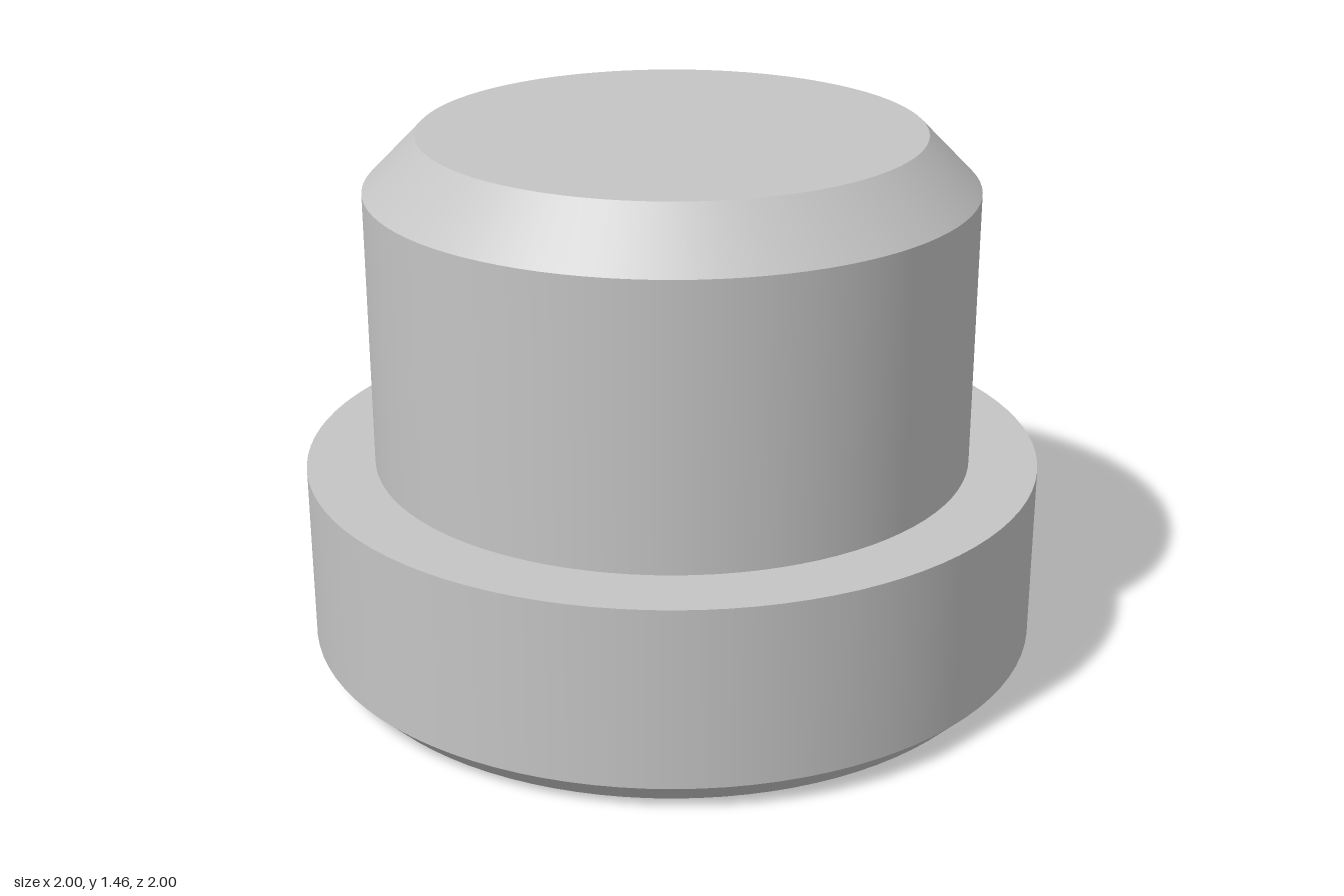
import * as THREE from 'three';
import { mergeGeometries } from 'three/addons/utils/BufferGeometryUtils.js';

const SEGMENTS = 96;

// Revolve each straight run of a profile on its own, so edges between runs stay sharp
function turned(name, profile, material) {
  const runs = [];
  for (let i = 0; i < profile.length - 1; i++) {
    const ends = [profile[i], profile[i + 1]].map(([r, y]) => new THREE.Vector2(r, y));
    runs.push(new THREE.LatheGeometry(ends, SEGMENTS));
  }
  const mesh = new THREE.Mesh(mergeGeometries(runs), material);
  mesh.name = name;
  return mesh;
}

export function createModel() {
  const steel = new THREE.MeshStandardMaterial({ color: 0xc4c4c4 });
  steel.name = 'steel grey';

  const group = new THREE.Group();
  group.name = 'steppedPin';

  // Blind hole in the underside, with a countersunk mouth
  group.add(turned('blindHole', [[0, 0.29], [0.35, 0.29], [0.35, 0.07], [0.42, 0]], steel));

  // Wide flange with a chamfered lower rim
  group.add(turned('flange', [[0.42, 0], [0.93, 0], [1, 0.07], [1, 0.555], [0.815, 0.555]], steel));

  // Narrower plug with a chamfered flat top
  group.add(turned('plug', [[0.815, 0.555], [0.815, 1.31], [0.672, 1.455], [0, 1.455]], steel));

  return group;
}
